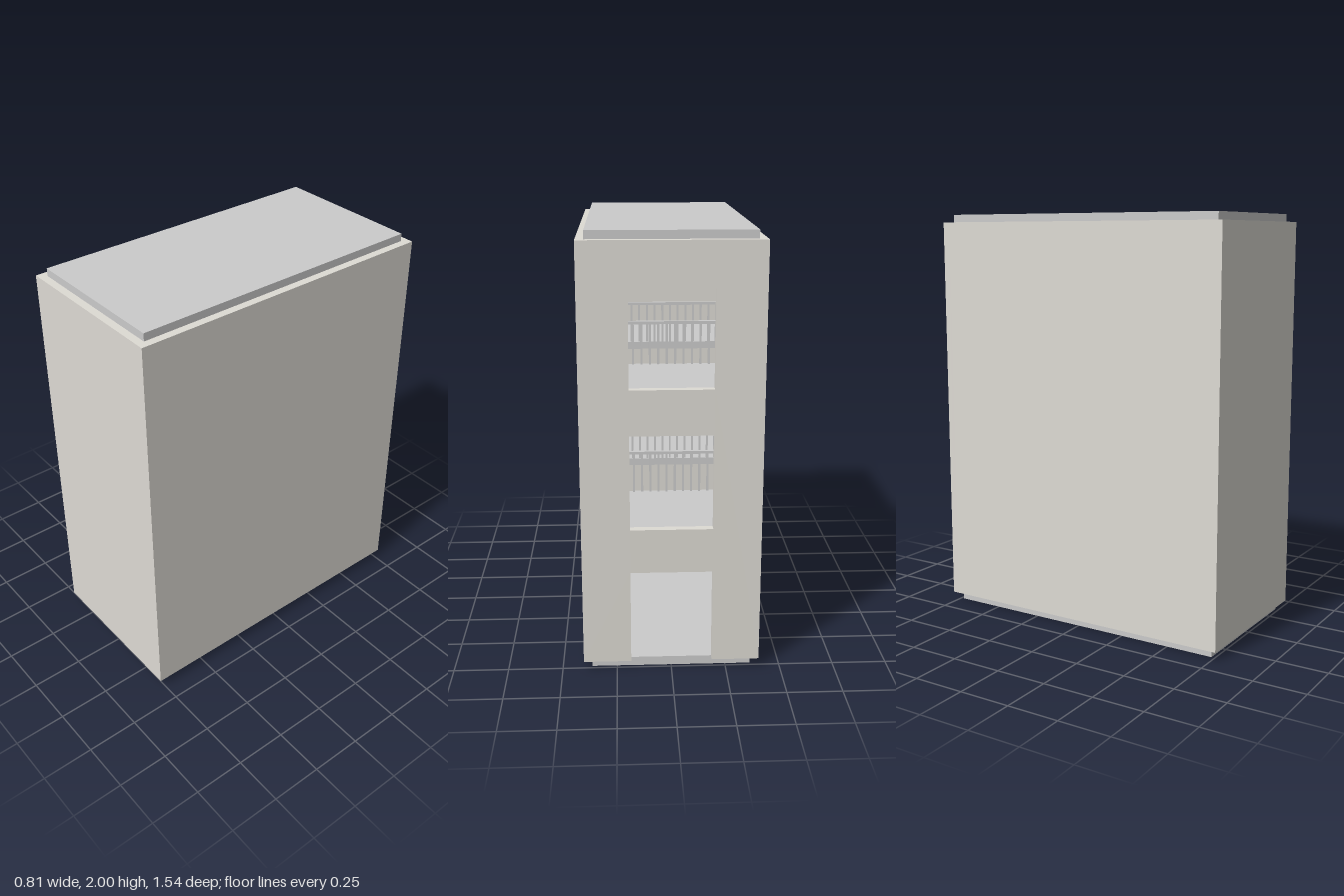
import * as THREE from 'three';

const W = 0.805, D = 1.54, T = 0.037;       // outer width, depth, wall thickness
const Y0 = 0.042, Y1 = 1.963;               // bottom and top of the walls
const STOREY = (Y1 - Y0) / 3;
const OPEN_W = 0.37, OPEN_H = 0.44;         // openings in the back wall
const WELL = 0.25;                          // half depth of the well through the upper floors

export function createModel() {
  const group = new THREE.Group();
  const wallMat = new THREE.MeshStandardMaterial({ color: 0xdedbd4 });
  const slabMat = new THREE.MeshStandardMaterial({ color: 0xcccccc });

  const add = (name, geometry, material, x, y, z) => {
    const mesh = new THREE.Mesh(geometry, material);
    mesh.name = name;
    mesh.position.set(x, y, z);
    group.add(mesh);
    return mesh;
  };
  const box = (name, w, h, d, material, x, y, z) =>
    add(name, new THREE.BoxGeometry(w, h, d), material, x, y, z);

  // Closed walls
  const midY = (Y0 + Y1) / 2, H = Y1 - Y0;
  box('frontWall', W, H, T, wallMat, 0, midY, (D - T) / 2);
  for (const [name, s] of [['leftWall', 1], ['rightWall', -1]]) {
    box(name, T, H, D - 2 * T, wallMat, s * (W - T) / 2, midY, 0);
  }

  // Back wall: doorway at the bottom, a window on each upper storey
  const w = W / 2, o = OPEN_W / 2;
  const outline = new THREE.Shape([
    [-w, 0], [-o, 0], [-o, OPEN_H], [o, OPEN_H], [o, 0], [w, 0], [w, H], [-w, H],
  ].map(([x, y]) => new THREE.Vector2(x, y)));
  for (let i = 1; i < 3; i++) {
    const b = i * STOREY + 0.005, t = i * STOREY + OPEN_H;
    outline.holes.push(new THREE.Path([
      [-o, b], [-o, t], [o, t], [o, b],
    ].map(([x, y]) => new THREE.Vector2(x, y))));
  }
  add('backWall', new THREE.ExtrudeGeometry(outline, { depth: T, bevelEnabled: false }),
    wallMat, 0, Y0, -D / 2);

  // Base and roof slabs, set in from the wall faces
  const sw = W - 2 * T, sd = D - 2 * T;
  box('baseSlab', sw, Y0, sd, slabMat, 0, Y0 / 2, 0);
  box('roofSlab', sw, 2 - Y1 + 0.002, sd, slabMat, 0, (2 + Y1 - 0.002) / 2, 0);

  // Upper floors on either side of the well, with a railing at each edge
  const floorD = sd / 2 - WELL, railH = 0.2, bars = 18;
  for (let i = 1; i < 3; i++) {
    const y = Y0 + i * STOREY;
    for (const s of [-1, 1]) {
      box('floor', sw, T, floorD, slabMat, 0, y - T / 2, s * (WELL + floorD / 2));
      const z = s * (WELL + 0.01);
      box('handrail', sw, 0.014, 0.018, slabMat, 0, y + railH, z);
      for (let k = 0; k <= bars; k++) {
        box('baluster', 0.01, railH, 0.01, slabMat,
          (k / bars - 0.5) * (sw - 0.012), y + railH / 2, z);
      }
    }
  }
  return group;
}
